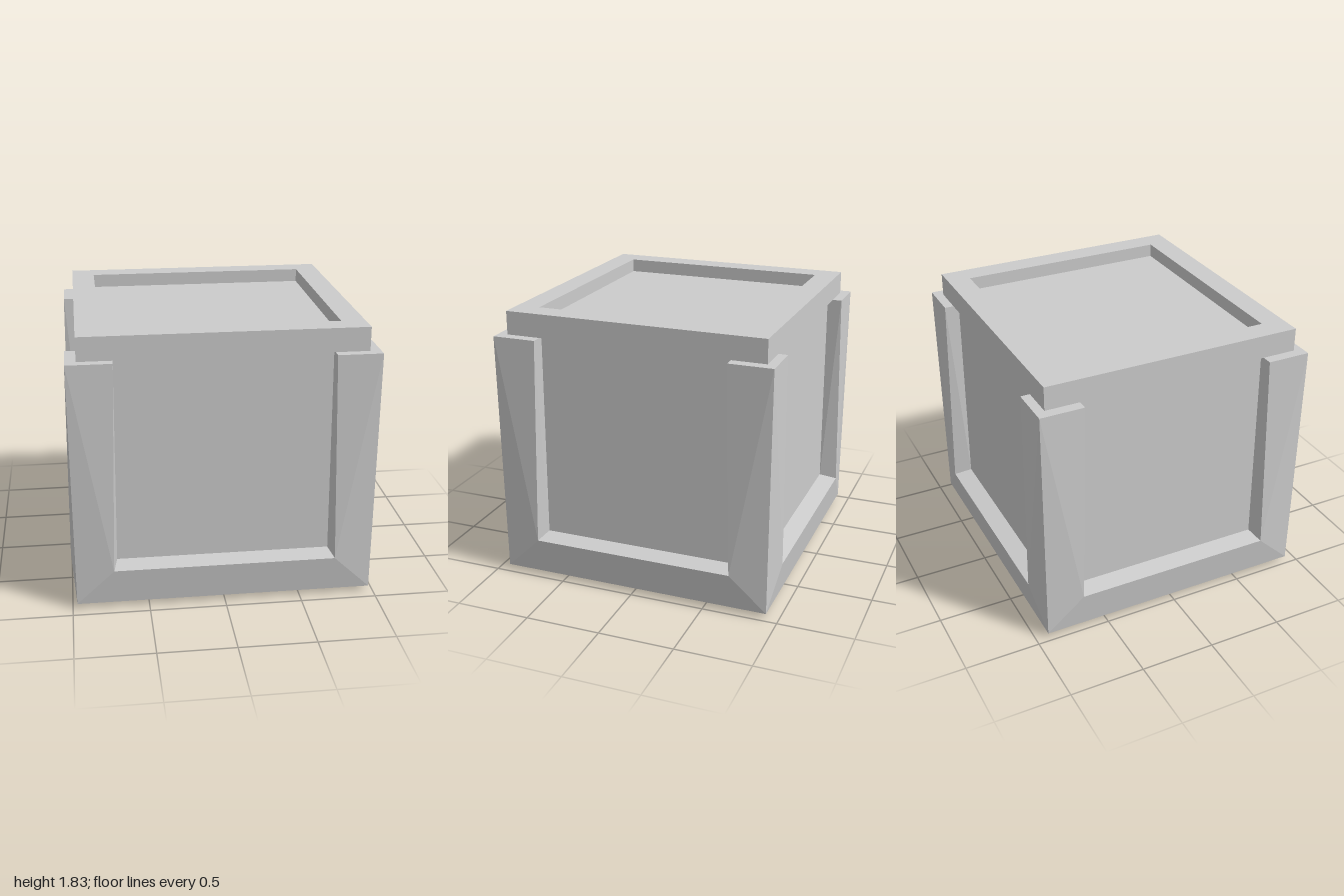
import * as THREE from 'three';

const TOP = 1.67; // height of the post tops, where the lid rests
const HALF_X = 1, HALF_Z = 0.95;

// Flat-shaded mesh from a list of four-cornered faces
function quadMesh(name, quads, material) {
  const positions = quads.flatMap(([a, b, c, d]) => [a, b, c, a, c, d].flat());
  const geometry = new THREE.BufferGeometry();
  geometry.setAttribute('position', new THREE.Float32BufferAttribute(positions, 3));
  geometry.computeVertexNormals();
  const mesh = new THREE.Mesh(geometry, material);
  mesh.name = name;
  return mesh;
}

// Rectangular cross-sections [halfX, halfZ, y] joined into a skin, optionally capped
function loftQuads(sections, capEnd) {
  const rings = sections.map(([x, z, y]) => [[x, y, z], [x, y, -z], [-x, y, -z], [-x, y, z]]);
  const quads = [[...rings[0]].reverse()];
  for (let r = 0; r < rings.length - 1; r++) {
    for (let i = 0; i < 4; i++) {
      const j = (i + 1) % 4;
      quads.push([rings[r][i], rings[r][j], rings[r + 1][j], rings[r + 1][i]]);
    }
  }
  if (capEnd) quads.push(rings[rings.length - 1]);
  return quads;
}

// One side facing +z: tapered posts, sloping sill and recessed panel
function createSide(name, halfWidth, halfDepth, material) {
  const point = (inset, y, depthInset) => (s) => [s * (halfWidth - inset), y, halfDepth - depthInset];
  const corner = point(0.03, 0.035, 0.03);
  const frameLow = point(0.275, 0.275, 0);
  const frameHigh = point(0.31, TOP, 0.02);
  const outerHigh = point(0.02, TOP, 0.02);
  const panelLow = point(0.3, 0.3, 0.12);
  const panelHigh = point(0.31, TOP, 0.12);
  const innerHigh = point(0.12, TOP, 0.12);

  const side = new THREE.Group();
  side.name = name;
  for (const s of [1, -1]) {
    const faces = [
      [frameLow, corner, outerHigh, frameHigh], // face
      [panelLow, frameLow, frameHigh, panelHigh], // inner wall
      [outerHigh, innerHigh, panelHigh, frameHigh], // top
    ].map((face) => {
      const q = face.map((p) => p(s));
      return s > 0 ? q : [q[0], q[3], q[2], q[1]];
    });
    side.add(quadMesh(s > 0 ? 'leftPost' : 'rightPost', faces, material));
  }
  side.add(quadMesh('sill', [
    [corner(-1), corner(1), frameLow(1), frameLow(-1)],
    [frameLow(-1), frameLow(1), panelLow(1), panelLow(-1)],
  ], material));
  side.add(quadMesh('panel', [[panelLow(-1), panelLow(1), panelHigh(1), panelHigh(-1)]], material));
  return side;
}

export function createModel() {
  const model = new THREE.Group();
  model.name = 'crate';
  const material = new THREE.MeshStandardMaterial({ color: 0xcccccc, flatShading: true });

  // Four framed sides
  ['frontSide', 'leftSide', 'backSide', 'rightSide'].forEach((name, i) => {
    const [w, d] = i % 2 ? [HALF_Z, HALF_X] : [HALF_X, HALF_Z];
    const side = createSide(name, w, d, material);
    side.rotation.y = i * Math.PI / 2;
    model.add(side);
  });

  // Underside: recessed panel in a bevelled frame
  model.add(quadMesh('base', loftQuads([
    [0.7, 0.65, 0.12],
    [0.725, 0.675, 0],
    [HALF_X - 0.03, HALF_Z - 0.03, 0.035],
  ], false), material));

  // Lid with a raised rim around a sunken panel
  model.add(quadMesh('lid', loftQuads([
    [0.91, 0.868, TOP],
    [0.91, 0.868, 1.825],
    [0.755, 0.713, 1.825],
    [0.755, 0.713, 1.735],
  ], true), material));

  return model;
}
